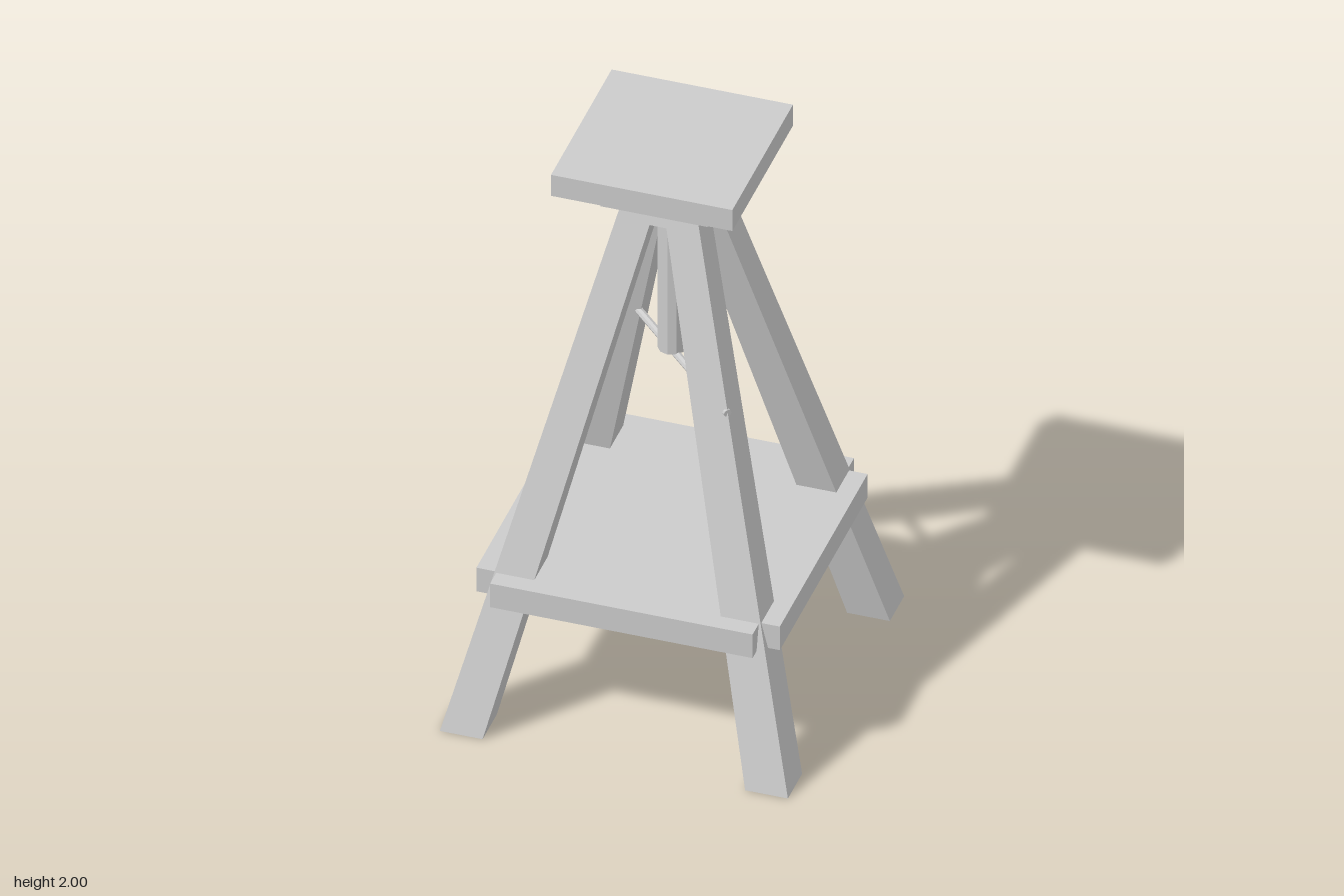
import * as THREE from 'three';

const material = new THREE.MeshStandardMaterial({ color: 0xcccccc, flatShading: true });

export function createModel() {
  const group = new THREE.Group();
  group.name = 'turntableStand';

  const add = (name, geometry, x = 0, y = 0, z = 0) => {
    const mesh = new THREE.Mesh(geometry, material);
    mesh.name = name;
    mesh.position.set(x, y, z);
    group.add(mesh);
    return mesh;
  };

  // Box between two heights, with separate inner/outer limits at each end
  const splayedBox = (y0, y1, [in0, out0], [in1, out1], sx = 1, sz = 1) => {
    const g = new THREE.BoxGeometry(1, 1, 1);
    const p = g.attributes.position;
    for (let i = 0; i < p.count; i++) {
      const top = p.getY(i) > 0;
      const [a, b] = top ? [in1, out1] : [in0, out0];
      const place = (v, s) => (v * s > 0 ? b : a) * s;
      p.setXYZ(i, place(p.getX(i), sx), top ? y1 : y0, place(p.getZ(i), sz));
    }
    g.computeVertexNormals();
    return g;
  };

  // Four splayed legs
  for (const sx of [-1, 1]) {
    for (const sz of [-1, 1]) {
      add('leg', splayedBox(0, 1.825, [0.43, 0.57], [0.013, 0.122], sx, sz));
    }
  }

  // Block joining the leg tops, and the fixed plate on it
  add('legBlock', splayedBox(1.76, 1.825, [-0.136, 0.136], [-0.12, 0.12]));
  add('basePlate', new THREE.BoxGeometry(0.35, 0.045, 0.35), 0, 1.8475, 0);

  // Shelf panel with four edge rails
  add('shelf', new THREE.BoxGeometry(0.86, 0.09, 0.86), 0, 0.5, 0);
  for (const s of [-1, 1]) {
    add('shelfRail', new THREE.BoxGeometry(0.86, 0.09, 0.067), 0, 0.5, s * 0.4635);
    add('shelfRail', new THREE.BoxGeometry(0.067, 0.09, 0.86), s * 0.4635, 0.5, 0);
  }

  // Central shaft and the pin through two opposite legs
  add('shaft', new THREE.CylinderGeometry(0.045, 0.045, 0.66, 10), 0, 1.54, 0);
  const pin = add('pin', new THREE.CylinderGeometry(0.013, 0.013, 0.775, 8), 0, 1.203, 0);
  pin.rotation.set(0, -Math.PI / 4, Math.PI / 2, 'YXZ');

  // Domed swivel under the square top
  const profile = [[0, 1.868], [0.06, 1.872], [0.12, 1.885], [0.166, 1.9], [0.166, 1.922], [0, 1.922]];
  add('swivel', new THREE.LatheGeometry(profile.map(([r, y]) => new THREE.Vector2(r, y)), 24));
  add('topPlate', new THREE.BoxGeometry(0.594, 0.08, 0.594), 0, 1.96, 0);

  return group;
}
